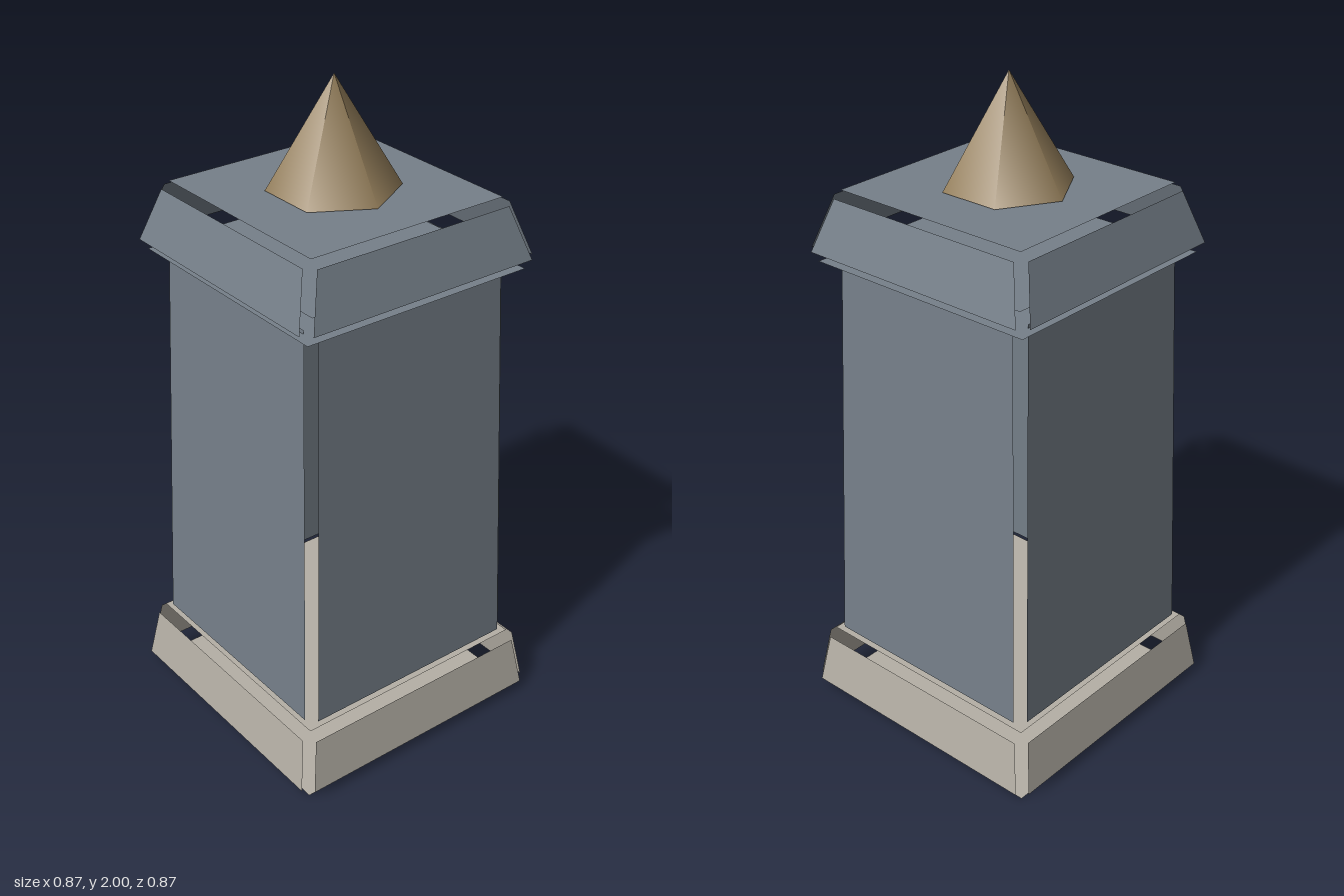
import * as THREE from 'three';

const stone = new THREE.MeshStandardMaterial({ color: 0xb5b0a6, side: THREE.DoubleSide });
stone.name = 'pale stone';
const slate = new THREE.MeshStandardMaterial({ color: 0x76808a, side: THREE.DoubleSide });
slate.name = 'slate grey';
const bronze = new THREE.MeshStandardMaterial({ color: 0x96805c });
bronze.name = 'bronze';

const GAP = 0.027; // how far each plate stands off its block

// Four sloping plates and two level plates, each pushed out from a square tapered block.
// Sizes are those of the sloping plates themselves: bottom/top height and half width.
function plateBlock(name, y0, y1, w0, w1, material) {
  const group = new THREE.Group();
  group.name = name;
  const h = y1 - y0;
  const slope = Math.atan2(w0 - w1, h);
  const rise = GAP * Math.sin(slope);
  const out = GAP * Math.cos(slope);

  // sloping sides
  for (let i = 0; i < 4; i++) {
    const geo = new THREE.PlaneGeometry(2, h);
    const p = geo.attributes.position;
    for (let v = 0; v < p.count; v++) {
      const top = p.getY(v) > 0;
      const w = top ? w1 : w0;
      p.setXYZ(v, p.getX(v) * w, top ? y1 : y0, w + out);
    }
    geo.rotateY((i * Math.PI) / 2);
    geo.computeVertexNormals();
    const side = new THREE.Mesh(geo, material);
    side.name = name + 'Side';
    group.add(side);
  }

  // level top and bottom
  const levels = [
    ['Top', w1, y1 - rise + GAP, -Math.PI / 2],
    ['Bottom', w0, y0 - rise - GAP, Math.PI / 2],
  ];
  for (const [label, w, y, turn] of levels) {
    const plate = new THREE.Mesh(new THREE.PlaneGeometry(2 * w, 2 * w), material);
    plate.name = name + label;
    plate.rotation.x = turn;
    plate.position.y = Math.max(0, y);
    group.add(plate);
  }
  return group;
}

export function createModel() {
  const model = new THREE.Group();
  model.name = 'pillar';

  model.add(plateBlock('base', 0.031, 0.192, 0.41, 0.385, stone));
  model.add(plateBlock('shaft', 0.23, 1.476, 0.352, 0.315, slate));
  model.add(plateBlock('cap', 1.5, 1.655, 0.375, 0.325, slate));

  // six-sided pointed finial with soft shading
  const finial = new THREE.Mesh(new THREE.ConeGeometry(0.19, 0.322, 6), bronze);
  finial.name = 'finial';
  finial.position.y = 2 - 0.161;
  model.add(finial);

  return model;
}
